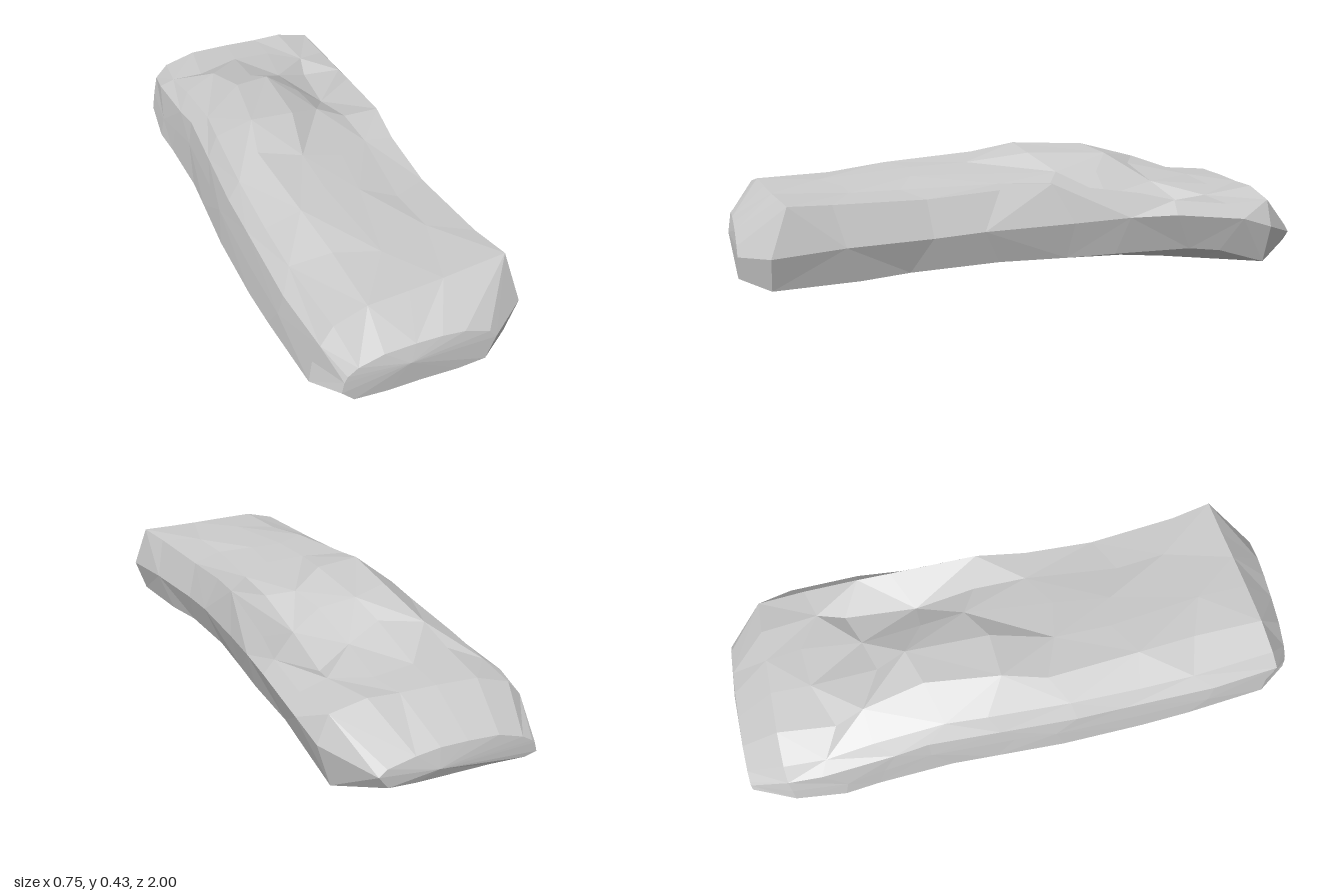
import * as THREE from 'three';

// Sections from front to back: z, xMin, xMax, then heights up the left side, over the top and down to the right side
const UPPER = [
  [0.985, -0.27, 0.23, 0.14, 0.18, 0.2, 0.225, 0.25, 0.257, 0.257, 0.25, 0.22, 0.19],
  [0.89, -0.335, 0.36, 0.12, 0.2, 0.28, 0.33, 0.36, 0.36, 0.36, 0.362, 0.365, 0.21],
  [0.65, -0.36, 0.335, 0.11, 0.2, 0.28, 0.325, 0.365, 0.37, 0.365, 0.36, 0.355, 0.22],
  [0.4, -0.365, 0.307, 0.09, 0.19, 0.285, 0.33, 0.385, 0.385, 0.375, 0.355, 0.345, 0.22],
  [0.15, -0.37, 0.31, 0.08, 0.2, 0.29, 0.345, 0.4, 0.39, 0.375, 0.36, 0.36, 0.23],
  [-0.08, -0.36, 0.33, 0.07, 0.2, 0.285, 0.345, 0.432, 0.42, 0.37, 0.35, 0.374, 0.24],
  [-0.31, -0.35, 0.35, 0.05, 0.19, 0.28, 0.335, 0.42, 0.405, 0.36, 0.29, 0.325, 0.25],
  [-0.5, -0.36, 0.365, 0.035, 0.15, 0.26, 0.3, 0.355, 0.355, 0.31, 0.26, 0.295, 0.25],
  [-0.68, -0.373, 0.373, 0.035, 0.12, 0.23, 0.265, 0.3, 0.3, 0.29, 0.28, 0.27, 0.22],
  [-0.84, -0.36, 0.36, 0.06, 0.13, 0.2, 0.25, 0.285, 0.29, 0.29, 0.295, 0.27, 0.18],
  [-0.985, -0.3, 0.24, 0.08, 0.11, 0.12, 0.14, 0.165, 0.17, 0.17, 0.16, 0.14, 0.12],
];

// Arched underside of the same sections: heights from right to left
const UNDER = [
  [0.11, 0.1, 0.1, 0.095, 0.1],
  [0.095, 0.085, 0.075, 0.08, 0.08],
  [0.095, 0.075, 0.07, 0.068, 0.065],
  [0.1, 0.075, 0.068, 0.06, 0.04],
  [0.11, 0.08, 0.068, 0.055, 0.035],
  [0.11, 0.08, 0.07, 0.055, 0.03],
  [0.115, 0.07, 0.068, 0.05, 0.015],
  [0.115, 0.055, 0.068, 0.045, 0.003],
  [0.1, 0.035, 0.065, 0.045, 0.005],
  [0.04, 0.025, 0.065, 0.05, 0.03],
  [0.08, 0.075, 0.075, 0.075, 0.07],
];

// Position of each ring point across the width
const ACROSS = [0, 0.015, 0.035, 0.1, 0.26, 0.46, 0.63, 0.78, 0.95, 1, 0.94, 0.76, 0.5, 0.3, 0.08];
const N = ACROSS.length;

function ring([z, x0, x1, ...upper], i) {
  const heights = [...upper, ...UNDER[i]];
  const inner = i > 1 && i < UPPER.length - 2;
  return ACROSS.map((u, j) => {
    // Stagger the points so the facets look chipped
    const shift = inner ? 0.045 * Math.sin(i * 2.4 + j * 1.9) : 0;
    const sway = inner && j > 3 && j < 8 ? 0.02 * Math.sin(i * 1.7 + j) : 0;
    // The front face is cut back towards the right
    const skew = i === 1 && j > 1 && j < 9 ? 0.055 - j * 0.014 : 0;
    return new THREE.Vector3(x0 + (x1 - x0) * u + sway, heights[j], z + shift + skew);
  });
}

function stoneGeometry() {
  const rings = UPPER.map(ring);
  const points = [];
  // Skin between neighbouring sections, with alternating diagonals
  for (let i = 0; i < rings.length - 1; i++) {
    for (let j = 0; j < N; j++) {
      const k = (j + 1) % N;
      const a = rings[i][j], b = rings[i][k], c = rings[i + 1][k], d = rings[i + 1][j];
      if ((i + j) % 2) points.push(a, b, c, a, c, d);
      else points.push(a, b, d, b, c, d);
    }
  }
  // Blunt ends
  const front = new THREE.Vector3(-0.06, 0.2, 1);
  const back = new THREE.Vector3(0.05, 0.11, -1);
  const last = rings[rings.length - 1];
  for (let j = 0; j < N; j++) {
    const k = (j + 1) % N;
    points.push(front, rings[0][k], rings[0][j], back, last[j], last[k]);
  }
  const geometry = new THREE.BufferGeometry().setFromPoints(points);
  geometry.computeVertexNormals();
  return geometry;
}

export function createModel() {
  const group = new THREE.Group();
  group.name = 'rock';
  const material = new THREE.MeshStandardMaterial({ color: 0xcccccc, flatShading: true });
  const stone = new THREE.Mesh(stoneGeometry(), material);
  stone.name = 'stone';
  group.add(stone);
  return group;
}
